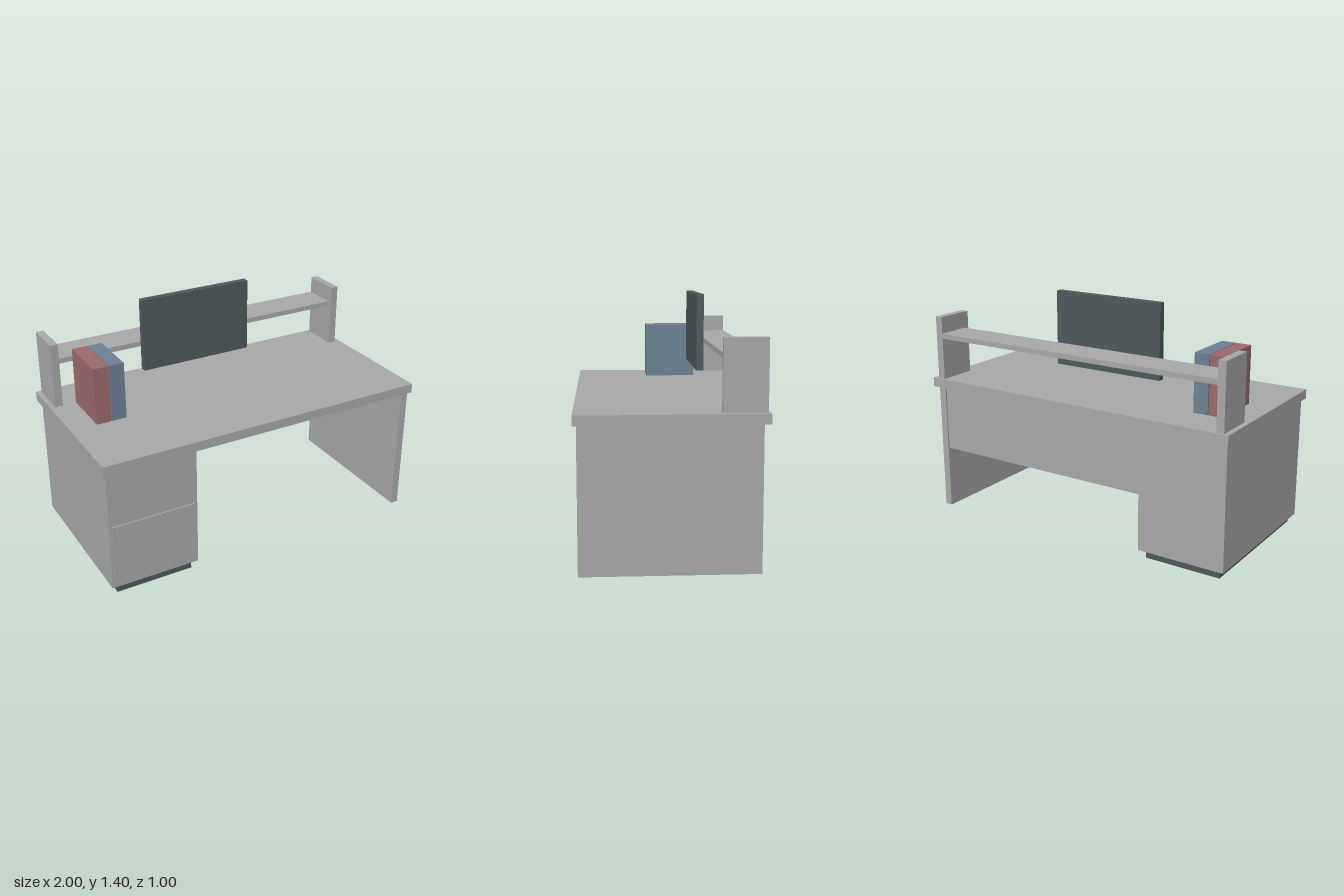
import * as THREE from 'three';

const make = (name, color) => {
  const m = new THREE.MeshStandardMaterial({ color, side: THREE.DoubleSide });
  m.name = name;
  return m;
};

// Box face order: +x, -x, +y, -y, +z, -z
const TOP = 2, BOTTOM = 3;

// Box between two extents per axis; open = faces left out
function box(name, material, [x0, x1], [y0, y1], [z0, z1], open = []) {
  const geo = new THREE.BoxGeometry(x1 - x0, y1 - y0, z1 - z0);
  if (open.length) {
    const index = Array.from(geo.index.array);
    geo.setIndex(index.filter((_, i) => !open.includes(Math.floor(i / 6))));
    geo.clearGroups();
  }
  const mesh = new THREE.Mesh(geo, material);
  mesh.name = name;
  mesh.position.set((x0 + x1) / 2, (y0 + y1) / 2, (z0 + z1) / 2);
  return mesh;
}

export function createModel() {
  const grey = make('grey laminate', 0xa7a8aa);
  const dark = make('dark slate', 0x4d595c);
  const red = make('red cover', 0x9b6a69);
  const blue = make('blue cover', 0x6b8193);

  const desk = new THREE.Group();
  desk.name = 'desk';

  // Worktop and supports
  desk.add(box('worktop', grey, [-1, 1], [0.78, 0.835], [-0.5, 0.5]));
  desk.add(box('sidePanel', grey, [0.94, 0.985], [0, 0.78], [-0.465, 0.48], [BOTTOM]));
  desk.add(box('modestyPanel', grey, [-0.45, 0.94], [0.38, 0.78], [-0.457, -0.432]));

  // Drawer pedestal with dark underside, on a hollow recessed plinth
  const sides = Array(6).fill(grey);
  sides[BOTTOM] = dark;
  desk.add(box('pedestal', sides, [-0.98, -0.45], [0.05, 0.78], [-0.465, 0.48]));
  desk.add(box('drawerFront', grey, [-0.96, -0.47], [0.09, 0.445], [0.48, 0.488]));
  desk.add(box('plinth', dark, [-0.945, -0.485], [0, 0.05], [-0.435, 0.46], [TOP, BOTTOM]));

  // Raised rear shelf between two end boards
  desk.add(box('shelfEndRight', grey, [-0.97, -0.925], [0.835, 1.215], [-0.488, -0.257]));
  desk.add(box('shelfEndLeft', grey, [0.92, 0.965], [0.835, 1.215], [-0.488, -0.257]));
  desk.add(box('shelf', grey, [-0.925, 0.92], [1.085, 1.115], [-0.488, -0.285]));

  // Screen and binders
  desk.add(box('screen', dark, [-0.435, 0.255], [0.97, 1.403], [-0.23, -0.19]));
  desk.add(box('redBinder', red, [-0.845, -0.758], [0.835, 1.17], [-0.257, 0.055]));
  desk.add(box('blueBinder', blue, [-0.753, -0.666], [0.835, 1.17], [-0.257, 0.055]));

  return desk;
}
